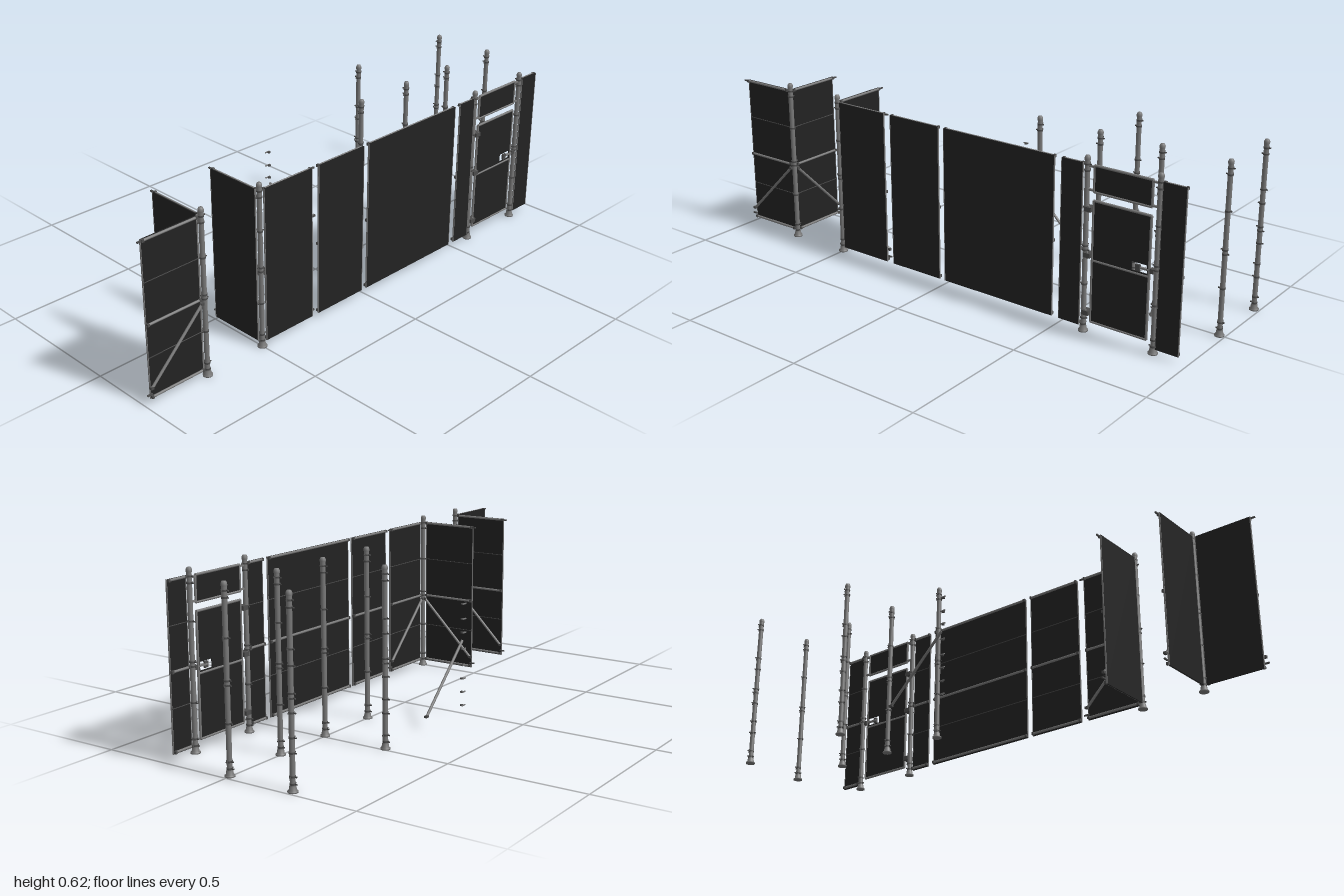
import * as THREE from 'three';

const steel = new THREE.MeshStandardMaterial({ color: 0x787878 });
steel.name = 'galvanised steel';
const darkSteel = new THREE.MeshStandardMaterial({ color: 0x4c4c4c });
darkSteel.name = 'dark fittings';
const cloth = new THREE.MeshStandardMaterial({ color: 0x222222 });
cloth.name = 'black panel';

function add(parent, name, geometry, material, x = 0, y = 0, z = 0) {
  const mesh = new THREE.Mesh(geometry, material);
  mesh.name = name;
  mesh.position.set(x, y, z);
  parent.add(mesh);
  return mesh;
}

function box(parent, name, material, w, h, d, x, y, z) {
  return add(parent, name, new THREE.BoxGeometry(w, h, d), material, x, y, z);
}

// round tube between two points
function tube(parent, name, a, b, r, material = steel) {
  const from = new THREE.Vector3(...a), to = new THREE.Vector3(...b);
  const dir = to.clone().sub(from);
  const mesh = add(parent, name, new THREE.CylinderGeometry(r, r, dir.length(), 12), material);
  mesh.position.copy(from).addScaledVector(dir, 0.5);
  mesh.quaternion.setFromUnitVectors(new THREE.Vector3(0, 1, 0), dir.normalize());
  return mesh;
}

const BASE_LEVELS = [0.027, 0.05, 0.173, 0.295, 0.31, 0.445, 0.57, 0.592];
const FULL_LEVELS = [...BASE_LEVELS, 0.125, 0.25, 0.395];

// upright post: flared foot, shaft, cap and coupling collars with pins
const postProfile = [
  [0, 0], [0.017, 0], [0.017, 0.005], [0.013, 0.007], [0.011, 0.02], [0.0088, 0.022],
  [0.0088, 0.605], [0.0102, 0.606], [0.0102, 0.614], [0.007, 0.621], [0, 0.622],
].map(([r, y]) => new THREE.Vector2(r, y));

function post(parent, x, z, levels) {
  const g = new THREE.Group();
  g.name = 'post';
  g.position.set(x, 0, z);
  add(g, 'postShaft', new THREE.LatheGeometry(postProfile, 18), steel);
  levels.forEach((y, i) => {
    add(g, 'collar', new THREE.CylinderGeometry(0.0104, 0.0104, 0.006, 14), darkSteel, 0, y, 0);
    box(g, 'collarPin', darkSteel, 0.004, 0.004, 0.017, 0, y, -0.009);
    box(g, 'collarPin', darkSteel, 0.015, 0.004, 0.004, i % 2 ? 0.008 : -0.008, y, 0);
  });
  parent.add(g);
}

// framed wall bay running along local +x; the skin lies on one side of the rails
function bay(parent, name, x, z, turn, start, end, side, braced) {
  const g = new THREE.Group();
  g.name = name;
  g.position.set(x, 0, z);
  g.rotation.y = turn;
  const w = end - start, mid = (start + end) / 2, off = side * 0.006;
  box(g, 'panelSkin', cloth, w, 0.575, 0.004, mid, 0.308, off);
  for (const y of [0.592, 0.295, 0.028]) {
    tube(g, 'rail', [start + 0.001, y, 0], [end - 0.001, y, 0], 0.0045);
    for (const ex of [start + 0.004, end - 0.004])
      box(g, 'railEnd', darkSteel, 0.008, 0.01, 0.008, ex, y, -side * 0.001);
  }
  for (const y of [0.445, 0.173])
    box(g, 'panelRib', darkSteel, w, 0.002, 0.002, mid, y, off - side * 0.003);
  for (const ex of [start, end])
    box(g, 'panelEdge', steel, 0.0025, 0.575, 0.005, ex, 0.308, off);
  if (braced) {
    // diagonal brace, high at the corner post
    tube(g, 'brace', [start, 0.281, -side * 0.005], [end - 0.002, 0.066, -side * 0.005], 0.005);
    for (const [ex, y] of [[start, 0.281], [end, 0.066]])
      box(g, 'braceClamp', darkSteel, 0.012, 0.009, 0.01, ex, y, -side * 0.005);
    // loose end fittings
    for (const y of [0.04, 0.592])
      box(g, 'endFitting', darkSteel, 0.02, 0.005, 0.006, end + 0.006, y, 0);
  }
  parent.add(g);
}

// gate leaf or fanlight: steel frame around a skin, with optional latch cut-out
function framedLeaf(parent, name, x0, x1, y0, y1, hole) {
  const g = new THREE.Group();
  g.name = name;
  g.position.z = 0.245;
  const s = new THREE.Shape([[x0, y0], [x1, y0], [x1, y1], [x0, y1]].map(p => new THREE.Vector2(...p)));
  if (hole) {
    const [a, b, c, d] = hole;
    s.holes.push(new THREE.Path([[a, c], [a, d], [b, d], [b, c]].map(p => new THREE.Vector2(...p))));
  }
  add(g, 'leafSkin', new THREE.ExtrudeGeometry(s, { depth: 0.004, bevelEnabled: false }), cloth, 0, 0, -0.002);
  for (const y of [y0, y1]) tube(g, 'leafRail', [x0, y, 0], [x1, y, 0], 0.0045);
  for (const x of [x0, x1]) tube(g, 'leafStile', [x, y0, 0], [x, y1, 0], 0.0045);
  parent.add(g);
  return g;
}

export function createModel() {
  const model = new THREE.Group();
  model.name = 'modularFence';
  const F = 0.245, Q = Math.PI / 2;

  // uprights
  for (const x of [-0.745, -0.5, 0.6, 0.87]) post(model, x, F, BASE_LEVELS);
  for (const x of [0.24, 0.49, 0.73, 0.98]) post(model, x, 0, BASE_LEVELS);
  for (const x of [0.49, 0.98]) post(model, x, -0.25, FULL_LEVELS);

  // outer corner
  bay(model, 'outerCornerFront', -0.745, F, Math.PI, 0.015, 0.233, 1, true);
  bay(model, 'outerCornerSide', -0.745, F, Q, 0.013, 0.23, -1, true);

  // inner corner
  bay(model, 'innerCornerFront', -0.5, F, 0, 0.015, 0.233, 1, true);
  bay(model, 'innerCornerSide', -0.5, F, Q, 0.013, 0.23, -1, true);

  // straight wall bays
  for (const [a, b] of [[-0.236, -0.015], [0.01, 0.476], [0.505, 0.587], [0.882, 0.967]])
    bay(model, 'wallBay', 0, F, 0, a, b, 1, false);

  // gate with fanlight
  const fan = framedLeaf(model, 'fanlight', 0.628, 0.843, 0.502, 0.592);
  const gate = framedLeaf(model, 'gate', 0.628, 0.843, 0.042, 0.472, [0.778, 0.836, 0.272, 0.302]);
  tube(gate, 'middleRail', [0.628, 0.264, 0], [0.843, 0.264, 0], 0.0045);
  for (const y of [0.507, 0.587])
    for (const x of [0.615, 0.857])
      box(fan, 'fanlightBracket', steel, 0.026, 0.006, 0.008, x, y, 0);
  for (const y of [0.075, 0.282, 0.443]) {
    box(gate, 'hinge', darkSteel, 0.026, 0.016, 0.028, 0.614, y, 0.002);
    tube(gate, 'hingePin', [0.616, y - 0.012, 0.012], [0.616, y + 0.012, 0.012], 0.003, steel);
  }
  // latch
  box(gate, 'latchBolt', steel, 0.06, 0.006, 0.008, 0.827, 0.288, 0.002);
  box(gate, 'latchPlate', darkSteel, 0.016, 0.022, 0.008, 0.803, 0.287, 0.003);
  box(gate, 'latchKeeper', darkSteel, 0.014, 0.016, 0.012, 0.855, 0.288, 0.002);

  // loose fittings and spare brace
  for (const y of [0.03, 0.08, 0.13, 0.18, 0.24, 0.3, 0.35, 0.405]) {
    const c = new THREE.Group();
    c.name = 'looseCoupler';
    c.position.set(-0.003, y, -0.25);
    add(c, 'couplerRing', new THREE.CylinderGeometry(0.006, 0.006, 0.005, 10), darkSteel, 0.004, 0, 0.003);
    box(c, 'couplerPin', steel, 0.022, 0.004, 0.004, 0, 0, -0.003);
    model.add(c);
  }
  tube(model, 'spareBrace', [0.005, 0.272, -0.25], [0.235, 0.05, -0.25], 0.005);
  box(model, 'spareBraceEnd', darkSteel, 0.016, 0.008, 0.01, 0.238, 0.048, -0.25);

  return model;
}
